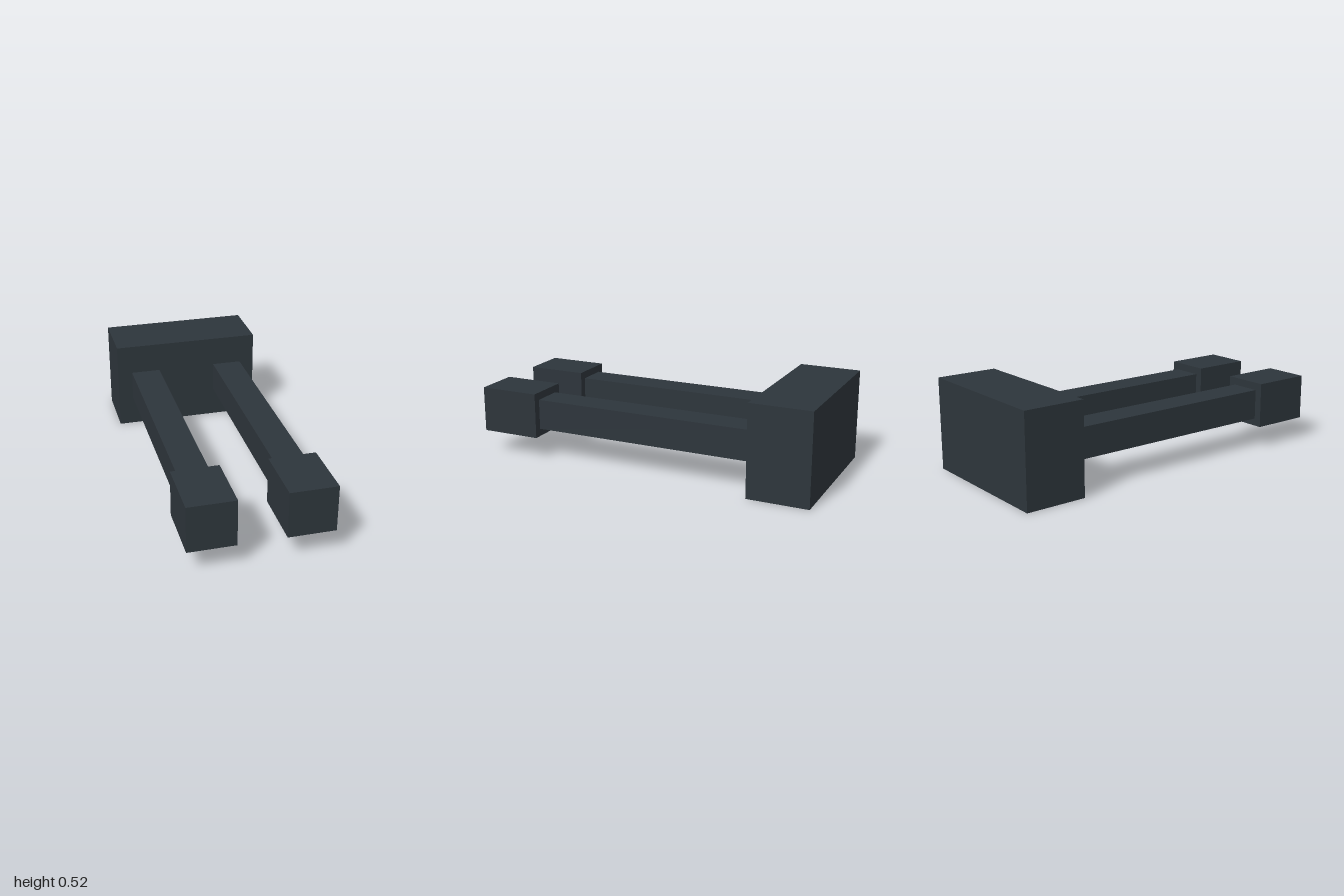
import * as THREE from 'three';

export function createModel() {
  const model = new THREE.Group();
  model.name = 'twinBarrels';

  const darkSteel = new THREE.MeshStandardMaterial({ color: 0x2d353b });
  darkSteel.name = 'darkSteel';

  // Box centred on (x, y), running from z = back to z = front
  function addBox(name, width, height, back, front, x, y) {
    const geometry = new THREE.BoxGeometry(width, height, front - back);
    const mesh = new THREE.Mesh(geometry, darkSteel);
    mesh.name = name;
    mesh.position.set(x, y, (back + front) / 2);
    model.add(mesh);
  }

  const axisY = 0.261;

  // Rear mounting block
  addBox('rearBlock', 0.87, 0.522, -1, -0.652, 0, axisY);

  // Mirrored square barrels with wider muzzles
  for (const [side, sign] of [['left', 1], ['right', -1]]) {
    const x = sign * 0.261;
    addBox(side + 'Barrel', 0.174, 0.174, -0.652, 0.652, x, axisY);
    addBox(side + 'Muzzle', 0.261, 0.261, 0.652, 1, x, axisY);
  }

  return model;
}
